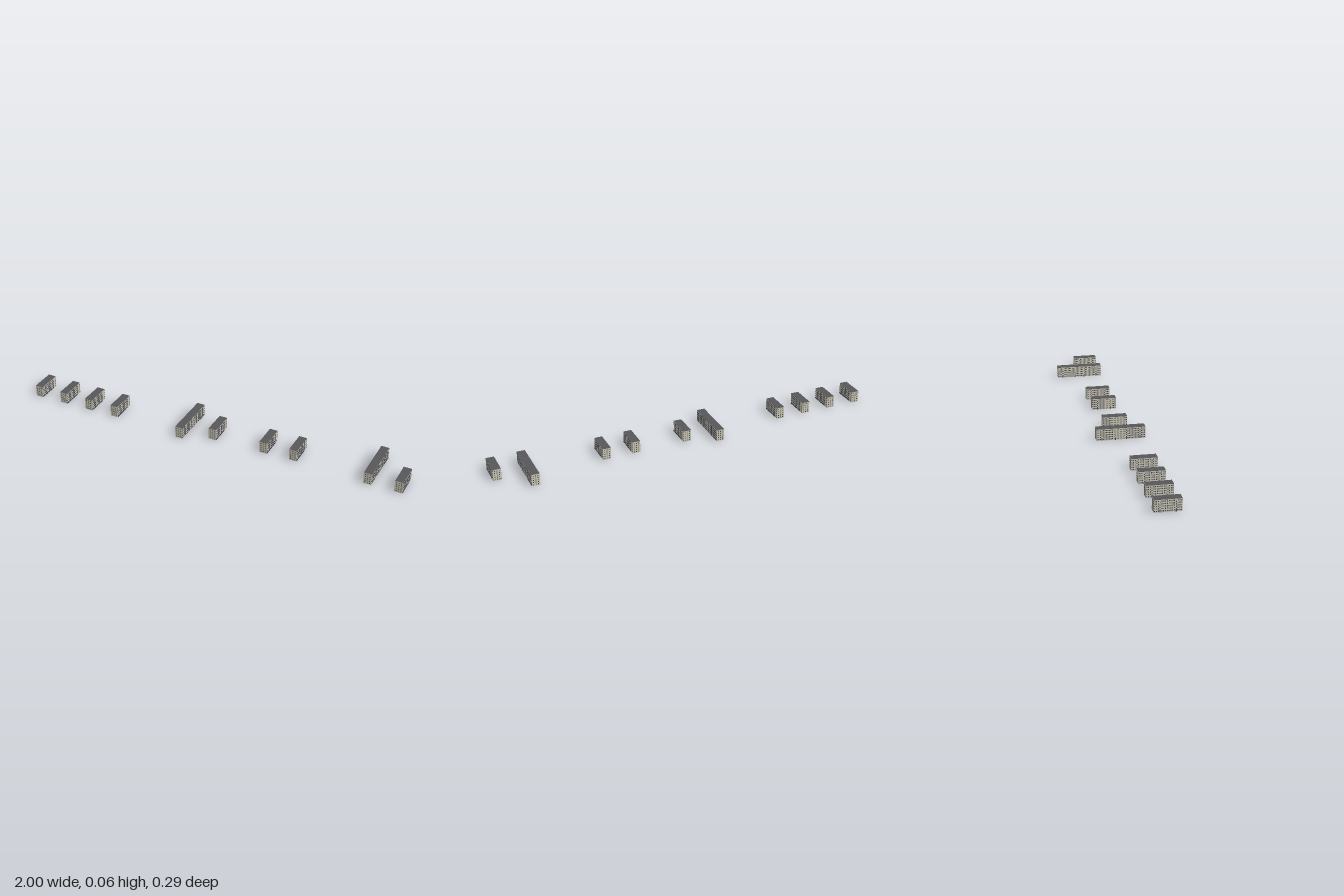
import * as THREE from 'three';
import { mergeGeometries } from 'three/addons/utils/BufferGeometryUtils.js';

const H = 0.06, HALF_W = 0.02, FLOORS = 5, FLOOR_H = 0.0112, BAYS = 16;
const wallMat = new THREE.MeshStandardMaterial({ color: 0xcac6b2, side: THREE.DoubleSide });
const roofMat = new THREE.MeshStandardMaterial({ color: 0x57575a, side: THREE.DoubleSide });
const glassMat = new THREE.MeshStandardMaterial({ color: 0x474b5a });
const railMat = new THREE.MeshStandardMaterial({ color: 0x77766f });

// Box given by size and centre
function box(w, h, d, x, y, z) {
  return new THREE.BoxGeometry(w, h, d).translate(x, y, z);
}

function part(name, geometries, material) {
  const mesh = new THREE.Mesh(mergeGeometries(geometries), material);
  mesh.name = name;
  return mesh;
}

// Horizontal sheet covering the block at height y
function deck(length, y) {
  return new THREE.PlaneGeometry(HALF_W * 2, length).rotateX(-Math.PI / 2).translate(0, y, 0);
}

// One apartment block made of stair sections, open underneath
function makeBlock(length, sections) {
  const block = new THREE.Group();
  const half = length / 2;
  const isLong = sections > 1;

  // Outer walls as single skins, with a pale ceiling under the roof
  const walls = [deck(length, H - 0.001)];
  for (const s of [-1, 1]) {
    walls.push(new THREE.PlaneGeometry(length, H).rotateY(s * Math.PI / 2).translate(s * HALF_W, H / 2, 0));
    walls.push(new THREE.PlaneGeometry(HALF_W * 2, H).rotateY(s > 0 ? 0 : Math.PI).translate(0, H / 2, s * half));
  }
  block.add(part('walls', walls, wallMat));

  // Flat roof and its low rim
  block.add(part('roof', [deck(length, H - 0.0002)], roofMat));
  const rim = [];
  for (const s of [-1, 1]) {
    rim.push(box(0.0008, 0.0012, length, s * HALF_W, H - 0.0006, 0));
    rim.push(box(HALF_W * 2, 0.0012, 0.0008, 0, H - 0.0006, s * (half - 0.0004)));
  }
  block.add(part('roofRim', rim, roofMat));

  const windows = [], balconies = [], slabs = [], shops = [], doors = [], canopies = [];
  const pitch = length / sections / BAYS;
  const face = HALF_W + 0.0004;
  for (let n = 0; n < sections; n++) {
    for (let f = 0; f < FLOORS; f++) {
      const y = 0.0068 + f * FLOOR_H;
      for (let i = 0; i < BAYS; i++) {
        const z = half - (n * BAYS + i + 0.5) * pitch;
        const balcony = [3, 7, 8, 12].includes(i);
        const bare = !isLong && (i === 13 || i === 14);
        const shop = isLong ? n === 1 && i >= 7 : i < 13;
        // Balcony side: shop panes along part of the ground floor, windows elsewhere
        if (f === 0 && shop) {
          shops.push(box(0.0008, 0.009, pitch * 0.7, face, 0.005, z));
        } else if (!bare) {
          const tall = balcony && f > 0;
          windows.push(box(0.0008, tall ? 0.0075 : 0.0052, pitch * (tall ? 0.8 : 0.5), face, y, z));
        }
        if (balcony && f > 0) {
          slabs.push(box(0.003, 0.0008, pitch, HALF_W + 0.0015, y - 0.0042, z));
          balconies.push(box(0.0005, 0.0038, pitch, HALF_W + 0.00275, y - 0.0022, z));
          for (const s of [-1, 1])
            balconies.push(box(0.0025, 0.0038, 0.0004, HALF_W + 0.00125, y - 0.0022, z + s * pitch * 0.48));
        }
        // Entrance side: doors and half-landing windows in the stair bays
        const stair = i === 3 || i === 12;
        if (stair && f === 0) {
          doors.push(box(0.0008, 0.008, pitch * 0.7, -face, 0.004, z));
          canopies.push(box(0.003, 0.0008, pitch * 1.2, -HALF_W - 0.0015, 0.009, z));
        } else {
          windows.push(box(0.0008, 0.0052, pitch * 0.5, -face, y - (stair ? FLOOR_H / 2 : 0), z));
        }
      }
    }
  }

  // Windows in both end walls
  for (const s of [-1, 1])
    for (let f = 0; f < FLOORS; f++)
      for (const x of [-0.0115, 0, 0.0115])
        windows.push(box(0.0036, 0.0052, 0.0008, x, 0.0068 + f * FLOOR_H, s * (half + 0.0004)));

  block.add(
    part('windows', windows, glassMat),
    part('shopPanes', shops, glassMat),
    part('doors', doors, glassMat),
    part('balconyRails', balconies, railMat),
    part('balconySlabs', slabs, wallMat),
    part('entranceCanopies', canopies, roofMat)
  );
  return block;
}

export function createModel() {
  const model = new THREE.Group();
  model.name = 'apartmentRow';
  // x, z and number of stair sections of each block
  const places = [
    [-0.977, 0.066, 1], [-0.828, 0.064, 1], [-0.679, 0.062, 1], [-0.53, 0.059, 1],
    [-0.144, 0.025, 2], [0.011, 0.024, 1], [0.284, 0.018, 1], [0.438, 0.013, 1],
    [0.825, -0.026, 2], [0.977, 0.031, 1]
  ];
  places.forEach(([x, z, sections], i) => {
    const block = makeBlock(sections === 2 ? 0.242 : 0.124, sections);
    block.name = (sections === 2 ? 'longBlock' : 'shortBlock') + (i + 1);
    block.position.set(x, 0, z);
    model.add(block);
  });
  return model;
}
